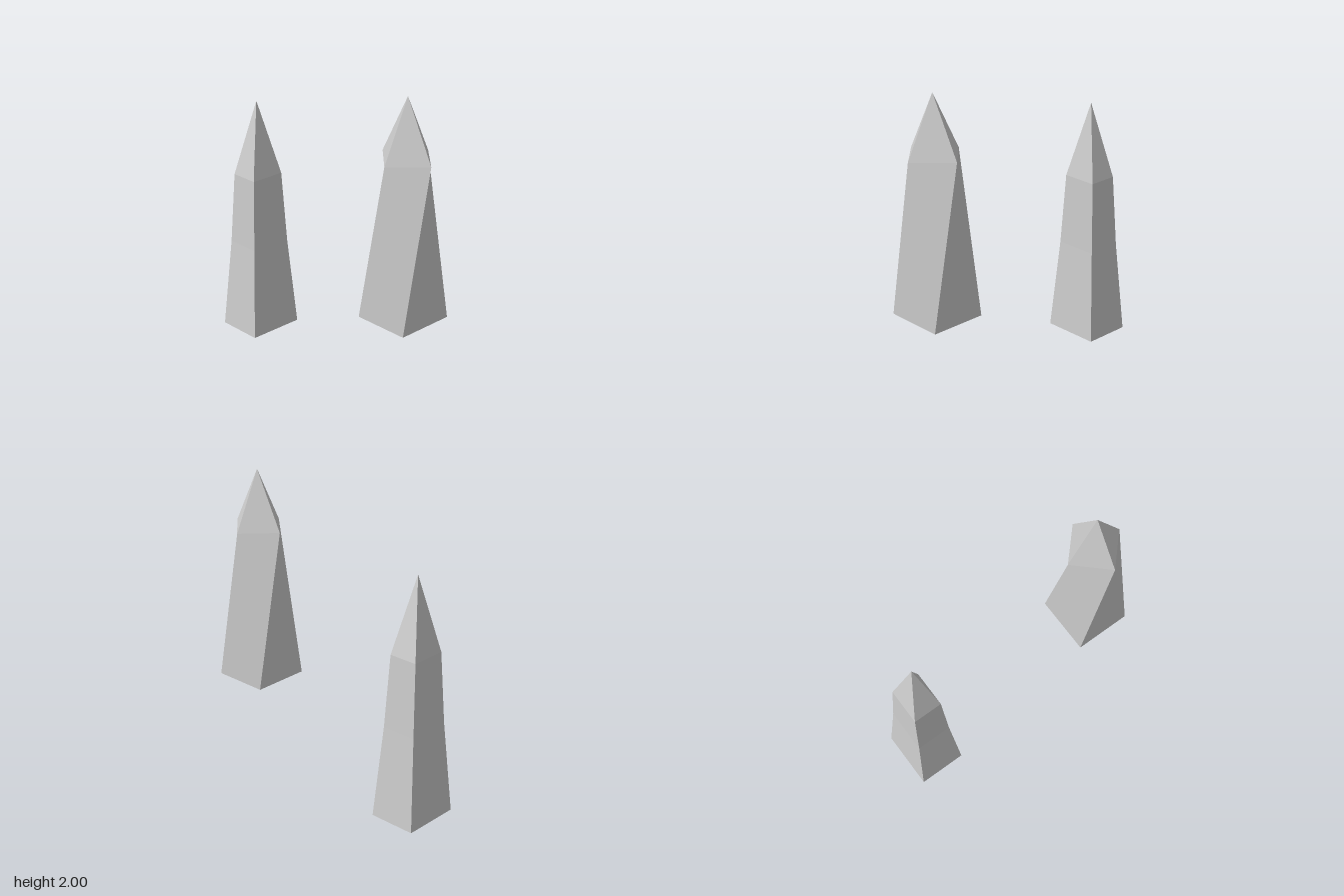
import * as THREE from 'three';

// Four-sided shaft lofted through rings of corners, closed by a tip and a flat base.
// Every side panel carries one face normal, so a twisted panel still shades as one facet.
function crystal(name, rings, tip) {
  const pos = [], nor = [];
  const v = (p) => new THREE.Vector3(...p);
  const panel = (a, b, c, d) => {
    const [A, B, C, D] = [a, b, c, d].map(v);
    const n = C.clone().sub(A).cross(D.clone().sub(B)).normalize();
    for (const p of [A, B, C, A, C, D]) {
      pos.push(p.x, p.y, p.z);
      nor.push(n.x, n.y, n.z);
    }
  };
  const facet = (a, b, c) => {
    const [A, B, C] = [a, b, c].map(v);
    const n = B.clone().sub(A).cross(C.clone().sub(A)).normalize();
    for (const p of [A, B, C]) {
      pos.push(p.x, p.y, p.z);
      nor.push(n.x, n.y, n.z);
    }
  };

  // Side panels, pointed cap and base
  for (let r = 0; r < rings.length - 1; r++) {
    const lo = rings[r], hi = rings[r + 1];
    for (let i = 0; i < 4; i++) {
      const j = (i + 1) % 4;
      panel(lo[i], lo[j], hi[j], hi[i]);
    }
  }
  const top = rings[rings.length - 1];
  for (let i = 0; i < 4; i++) facet(top[i], top[(i + 1) % 4], tip);
  const base = rings[0];
  panel(base[3], base[2], base[1], base[0]);

  const geo = new THREE.BufferGeometry();
  geo.setAttribute('position', new THREE.Float32BufferAttribute(pos, 3));
  geo.setAttribute('normal', new THREE.Float32BufferAttribute(nor, 3));
  const mesh = new THREE.Mesh(geo, new THREE.MeshStandardMaterial({ color: 0xcccccc }));
  mesh.name = name;
  return mesh;
}

// Rectangular ring, counter-clockwise from above, starting at the front (-x, +z) corner
const rect = (y, hx, hz, cz) =>
  [[-1, 1], [1, 1], [1, -1], [-1, -1]].map(([sx, sz]) => [sx * hx, y, cz + sz * hz]);

export function createModel() {
  const group = new THREE.Group();
  group.name = 'crystalPair';

  // Standing shaft: tapers in two steps to a tall point
  const backZ = -0.7;
  group.add(crystal('standingCrystal', [
    rect(0, 0.197, 0.161, backZ),
    rect(0.63, 0.148, 0.12, backZ),
    rect(1.12, 0.122, 0.099, backZ),
  ], [0, 1.635, backZ]));

  // Raised shaft: upper ring is turned an eighth of a turn against the base
  const frontZ = 0.666;
  const turned = [[0, 0.2], [0.199, -0.01], [0, -0.2], [-0.199, 0.01]]
    .map(([x, z]) => [x, 1.61, frontZ + z]);
  group.add(crystal('twistedCrystal', [
    rect(0.55, 0.199, 0.191, frontZ),
    turned,
  ], [0, 2, frontZ]));

  return group;
}
